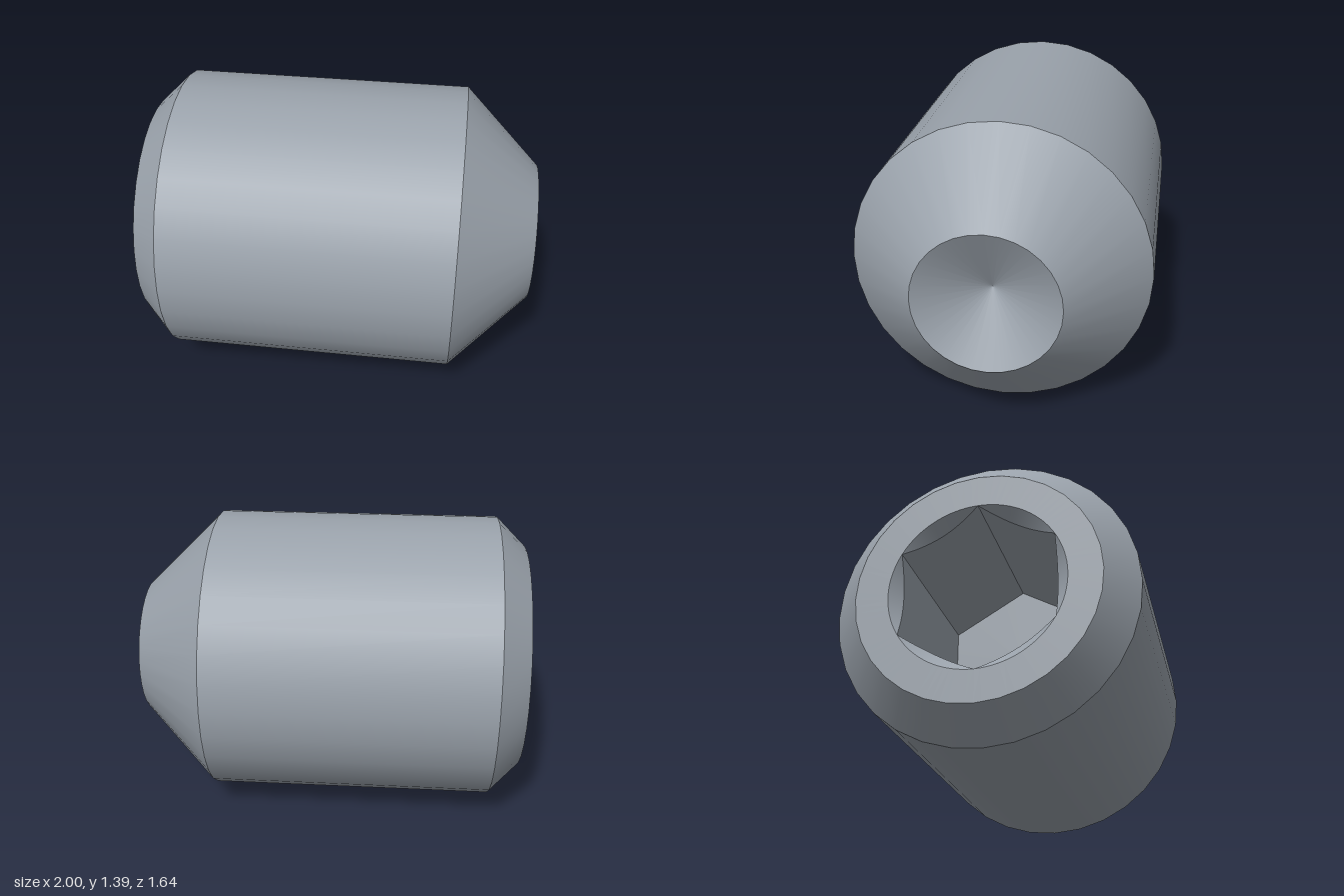
import * as THREE from 'three';
import { toCreasedNormals } from 'three/addons/utils/BufferGeometryUtils.js';

const SIDES = 32;

// Radius, at angle a, of a regular polygon with corner radius R and a corner at angle 0
function polygonRadius(R, sides, a) {
  const step = (2 * Math.PI) / sides;
  const local = a - Math.floor(a / step + 1e-6) * step;
  return (R * Math.cos(step / 2)) / Math.cos(local - step / 2);
}

// Skin between successive rings; each level maps an angle to [radius, y]
function loft(levels, n) {
  const pos = [], index = [], m = levels.length;
  for (let i = 0; i < n; i++) {
    const a = (i / n) * Math.PI * 2;
    for (const level of levels) {
      const [r, y] = level(a);
      pos.push(r * Math.cos(a), y, r * Math.sin(a));
    }
  }
  for (let i = 0; i < n; i++) {
    for (let j = 0; j < m - 1; j++) {
      const p = i * m + j, q = ((i + 1) % n) * m + j;
      index.push(p, p + 1, q, p + 1, q + 1, q);
    }
  }
  const g = new THREE.BufferGeometry();
  g.setAttribute('position', new THREE.Float32BufferAttribute(pos, 3));
  g.setIndex(index);
  return toCreasedNormals(g, 0.5);
}

export function createModel() {
  const steel = new THREE.MeshStandardMaterial({ color: 0x9aa2ab });
  steel.name = 'steel grey';

  const screw = new THREE.Group();
  screw.name = 'setScrew';
  const add = (name, geometry) => {
    const mesh = new THREE.Mesh(geometry, steel);
    mesh.name = name;
    screw.add(mesh);
  };

  // Outer surfaces along local y, from the socket end to the cup point
  const backY = -0.9, tipY = 0.954;
  const sections = [
    ['backChamfer', [0.552, backY], [0.693, -0.758]],
    ['shank', [0.693, -0.758], [0.693, 0.591]],
    ['pointTaper', [0.693, 0.591], [0.332, tipY]],
    ['cupPoint', [0.332, tipY], [0, tipY - 0.175]],
  ];
  for (const [name, ...pts] of sections) {
    add(name, new THREE.LatheGeometry(pts.map(p => new THREE.Vector2(...p)), SIDES));
  }

  // Hex socket: floor, walls, countersunk mouth and flat end ring
  const hexR = 0.4, floorY = backY + 0.81;
  const hex = a => polygonRadius(hexR, 6, a);
  add('hexSocket', loft([
    () => [0, floorY],
    a => [hex(a), floorY],
    a => [hex(a), backY + (hexR - hex(a)) * 0.95],
    () => [hexR, backY],
    a => [polygonRadius(0.552, SIDES, a), backY],
  ], 96));

  // Lay the axis along x, then turn it slightly towards the front
  screw.rotation.z = -Math.PI / 2;
  const model = new THREE.Group();
  model.name = 'screwModel';
  model.add(screw);
  model.rotation.y = -THREE.MathUtils.degToRad(12);
  model.position.set(-0.004, 0.694, 0.017);

  const root = new THREE.Group();
  root.add(model);
  return root;
}
